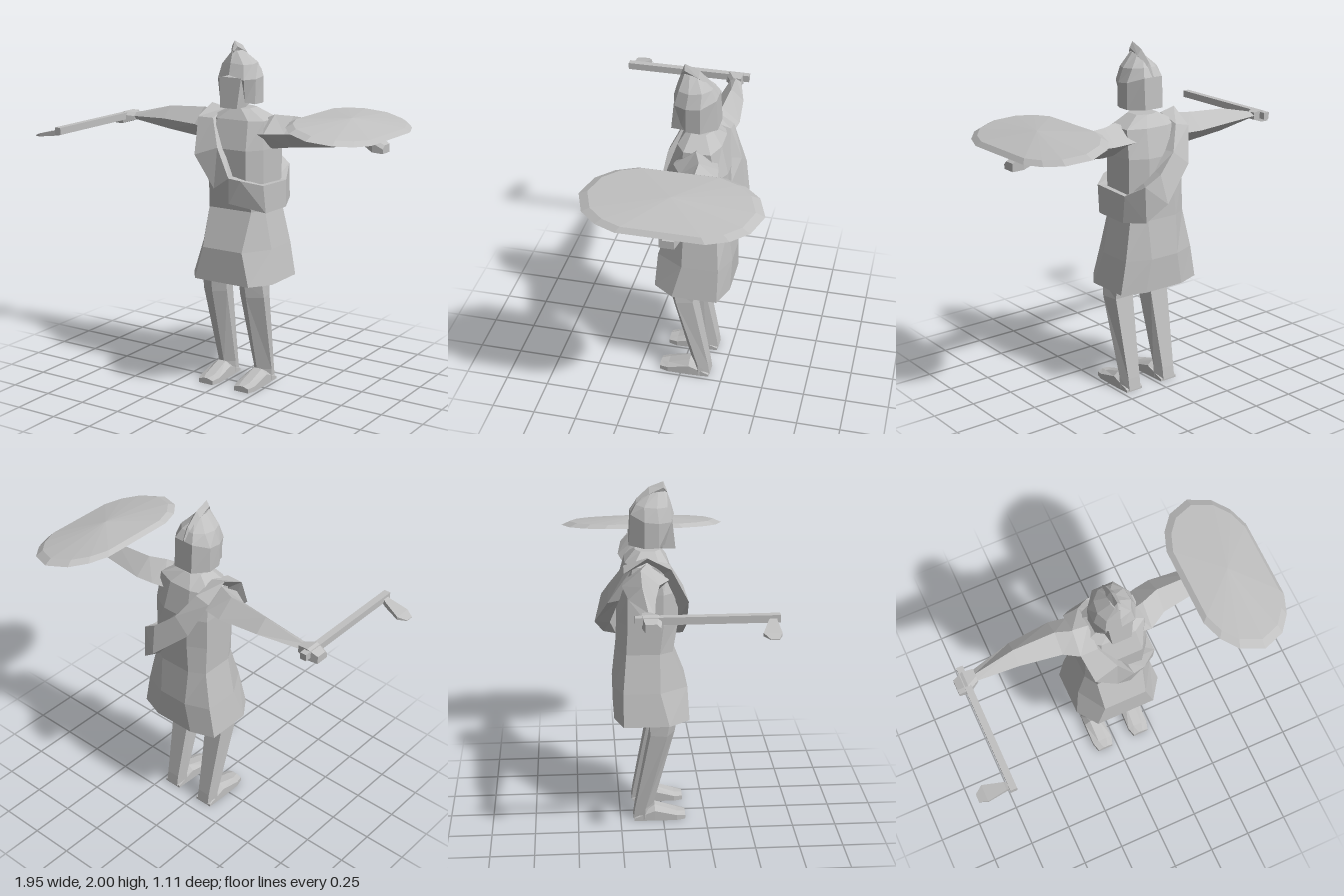
import * as THREE from 'three';

const CX = 0.045; // body's plane of symmetry
const stone = new THREE.MeshStandardMaterial({ color: 0xc0c0c0, flatShading: true, side: THREE.DoubleSide });
stone.name = 'grey stone';

// Skin a list of equal-length point rings; faces are turned outward by signed volume.
function loft(name, rings, { caps = [true, true], loop = false } = {}) {
  const tris = [], n = rings[0].length, m = rings.length;
  for (let i = 0; i < (loop ? m : m - 1); i++) {
    const a = rings[i], b = rings[(i + 1) % m];
    for (let j = 0; j < n; j++) {
      const k = (j + 1) % n;
      tris.push([a[j], a[k], b[k]], [a[j], b[k], b[j]]);
    }
  }
  const cap = (r, flip) => {
    for (let j = 1; j < n - 1; j++) tris.push(flip ? [r[0], r[j + 1], r[j]] : [r[0], r[j], r[j + 1]]);
  };
  if (!loop && caps[0]) cap(rings[0], true);
  if (!loop && caps[1]) cap(rings[m - 1], false);
  const V = (p) => new THREE.Vector3(...p);
  const mid = V([0, 0, 0]);
  rings.flat().forEach((p) => mid.add(V(p)));
  mid.divideScalar(n * m);
  let vol = 0;
  for (const [a, b, c] of tris) vol += V(a).sub(mid).dot(V(b).sub(mid).cross(V(c).sub(mid)));
  const pos = tris.flatMap(([a, b, c]) => (vol < 0 ? [a, c, b] : [a, b, c])).flat();
  const g = new THREE.BufferGeometry();
  g.setAttribute('position', new THREE.Float32BufferAttribute(pos, 3));
  g.computeVertexNormals();
  const mesh = new THREE.Mesh(g, stone);
  mesh.name = name;
  return mesh;
}

// Mirror a half ring of [dx, y, z], listed front to back, about the body's plane.
const mirrored = (half) => [
  ...half.map(([d, y, z]) => [CX + d, y, z]),
  ...half.filter(([d]) => d > 0).reverse().map(([d, y, z]) => [CX - d, y, z]),
];

function tunic() {
  // height, half width, front panel half width, front z, back z, side front z, side back z
  const rows = [
    [0.64, 0.265, 0.18, 0.15, -0.28, 0.03, -0.23],
    [0.83, 0.23, 0.13, 0.14, -0.285, -0.02, -0.23],
    [1.05, 0.185, 0.14, 0.055, -0.26, -0.02, -0.21],
    [1.22, 0.185, 0.12, 0.085, -0.255, 0, -0.2],
    [1.4, 0.185, 0.12, 0.085, -0.25, 0, -0.2],
    [1.56, 0.175, 0.1, 0.03, -0.21, -0.02, -0.17],
    [1.62, 0.07, 0.03, -0.01, -0.15, -0.04, -0.12],
  ];
  return loft('tunic', rows.map(([y, w, fw, zf, zb, sf, sb]) =>
    mirrored([[fw, y, zf], [w, y, sf], [w, y, sb], [fw * 0.7, y, zb]])), { caps: [false, true] });
}

function sash() {
  // upper and lower edge of the band, once around the body
  const edges = [
    [[-0.08, 1.6, -0.09], [-0.17, 1.625, -0.09]],
    [[-0.08, 1.56, 0.04], [-0.18, 1.56, 0.04]],
    [[0, 1.41, 0.12], [-0.14, 1.36, 0.14]],
    [[0.09, 1.25, 0.145], [-0.01, 1.18, 0.14]],
    [[0.16, 1.24, 0.13], [0.08, 1.1, 0.125]],
    [[0.26, 1.21, 0.05], [0.265, 1.05, 0.03]],
    [[0.26, 1.2, -0.2], [0.265, 1.045, -0.19]],
    [[0.21, 1.27, -0.32], [0.21, 1.07, -0.33]],
    [[0.12, 1.33, -0.34], [0.1, 1.17, -0.38]],
    [[0, 1.43, -0.3], [-0.1, 1.35, -0.31]],
    [[-0.08, 1.56, -0.22], [-0.17, 1.54, -0.22]],
  ];
  const inner = ([x, y, z]) => [x + (CX - x) * 0.25, y - (y > 1.55 ? 0.04 : 0), z + (-0.09 - z) * 0.3];
  return loft('sash', edges.map(([u, l]) => [u, l, inner(l), inner(u)]), { loop: true });
}

function arm(side, name) {
  // distance out, top y, bottom y, front z, back z
  const rows = [
    [0.13, 1.56, 1.42, 0.02, -0.2],
    [0.2, 1.59, 1.4, 0.03, -0.22],
    [0.3, 1.585, 1.41, -0.03, -0.235],
    [0.54, 1.57, 1.435, -0.065, -0.21],
    [0.78, 1.51, 1.475, -0.085, -0.15],
  ];
  const g = new THREE.Group();
  g.name = name;
  const at = (d) => CX + side * d;
  g.add(loft('sleeve', rows.map(([d, t, b, f, k]) => {
    const c = (f + k) / 2, h = (t + b) / 2;
    return [[at(d), t, c], [at(d), h, f], [at(d), b, c + 0.02], [at(d), h, k]];
  })));
  const hand = [[0.77, 1.512, 1.47, -0.085, -0.15], [0.83, 1.52, 1.45, -0.05, -0.155], [0.89, 1.49, 1.445, -0.06, -0.14]];
  g.add(loft('hand', hand.map(([d, t, b, f, k]) =>
    [[at(d), t, f - 0.02], [at(d), t - 0.02, f], [at(d), b, f], [at(d), b, k], [at(d), t, k]])));
  return g;
}

function leg(side, name) {
  const g = new THREE.Group();
  g.name = name;
  // height, inner and outer distance, front z, back z
  const rows = [
    [0.85, 0.05, 0.19, 0.06, -0.09],
    [0.64, 0.045, 0.2, 0.085, -0.08],
    [0.55, 0.045, 0.205, 0.07, -0.075],
    [0.08, 0.065, 0.185, -0.055, -0.165],
    [0.01, 0.065, 0.185, -0.06, -0.175],
  ];
  g.add(loft('shin', rows.map(([y, i, o, f, b]) => [[(i + o) / 2 - 0.01, f], [o, f - 0.05],
    [o - 0.02, b], [i + 0.02, b], [i, f - 0.05]].map(([d, z]) => [CX + side * d, y, z]))));
  // z, top, inner, outer
  const foot = [[-0.17, 0.02, 0.07, 0.18], [-0.05, 0.09, 0.065, 0.185], [0.08, 0.045, 0.06, 0.185], [0.13, 0.035, 0.075, 0.17]];
  g.add(loft('foot', foot.map(([z, t, i, o]) => [[i, 0], [o, 0], [o, t * 0.7], [o - 0.035, t], [i + 0.035, t], [i, t * 0.7]]
    .map(([d, y]) => [CX + side * d, y, z]))));
  return g;
}

function head() {
  const g = new THREE.Group();
  g.name = 'head';
  g.add(loft('face', [
    mirrored([[0.055, 1.63, 0.075], [0.07, 1.635, 0], [0.05, 1.65, -0.08]]),
    mirrored([[0.07, 1.8, 0.055], [0.085, 1.8, 0], [0.05, 1.8, -0.08]]),
  ]));
  g.add(loft('helmet', [
    mirrored([[0.07, 1.66, 0.015], [0.115, 1.65, -0.02], [0.12, 1.65, -0.1], [0.06, 1.655, -0.185]]),
    mirrored([[0.085, 1.79, 0.05], [0.12, 1.79, -0.02], [0.122, 1.8, -0.1], [0.06, 1.83, -0.175]]),
  ], { caps: [true, false] }));
  g.add(loft('helmetDome', [
    mirrored([[0, 1.815, 0.07], [0.085, 1.79, 0.05], [0.12, 1.79, -0.02], [0.122, 1.8, -0.1], [0.06, 1.83, -0.175]]),
    mirrored([[0, 1.88, 0.052], [0.07, 1.87, 0.03], [0.095, 1.87, -0.03], [0.085, 1.875, -0.1], [0.04, 1.88, -0.145]]),
    mirrored([[0, 1.945, 0.03], [0.015, 1.945, 0.01], [0.025, 1.945, -0.02], [0.02, 1.94, -0.06], [0.01, 1.92, -0.1]]),
  ]));
  // z, ridge y, base y, half width
  const crest = [[0.03, 1.95, 1.93, 0.008], [0.01, 2, 1.92, 0.018], [-0.07, 1.97, 1.88, 0.025], [-0.14, 1.905, 1.84, 0.018], [-0.175, 1.84, 1.82, 0.005]];
  g.add(loft('crest', crest.map(([z, t, b, w]) =>
    [[CX, t, z], [CX + w, t * 0.6 + b * 0.4, z], [CX, b, z], [CX - w, t * 0.6 + b * 0.4, z]])));
  return g;
}

function shield() {
  // quarter outline as [across, along], mirrored to an elongated oval
  const q = [[0, 0.485], [0.13, 0.435], [0.205, 0.345], [0.248, 0.23]];
  const halfOval = [...q, ...q.slice(1).reverse().map(([x, z]) => [x, -z]), [0, -0.485]];
  const oval = [...halfOval, ...halfOval.slice(1, -1).reverse().map(([x, z]) => [-x, z])];
  const ring = (s, h) => oval.map(([x, z]) => [x * s, h, z * s]);
  const mesh = loft('shield', [ring(1, 0), ring(0.9, 0.022), ring(0.01, 0.053)]);
  mesh.position.set(0.73, 1.567, -0.075);
  mesh.rotation.z = -0.155;
  return mesh;
}

function axe() {
  const g = new THREE.Group();
  g.name = 'axe';
  const handle = new THREE.Mesh(new THREE.BoxGeometry(0.038, 0.04, 0.74), stone);
  handle.name = 'handle';
  handle.position.set(-0.787, 1.492, 0.18);
  g.add(handle);
  // x, centre y, half thickness, front z, back z
  const rows = [[-0.785, 1.485, 0.018, 0.535, 0.505], [-0.82, 1.475, 0.015, 0.53, 0.485],
    [-0.93, 1.455, 0.009, 0.54, 0.445], [-0.975, 1.445, 0.002, 0.52, 0.475]];
  g.add(loft('blade', rows.map(([x, y, h, f, b]) => [[x, y + h, f], [x, y - h, f], [x, y - h, b], [x, y + h, b]])));
  return g;
}

export function createModel() {
  const model = new THREE.Group();
  model.name = 'warrior';
  model.add(tunic(), sash(), head(), shield(), axe());
  model.add(arm(1, 'leftArm'), arm(-1, 'rightArm'), leg(1, 'leftLeg'), leg(-1, 'rightLeg'));
  return model;
}
